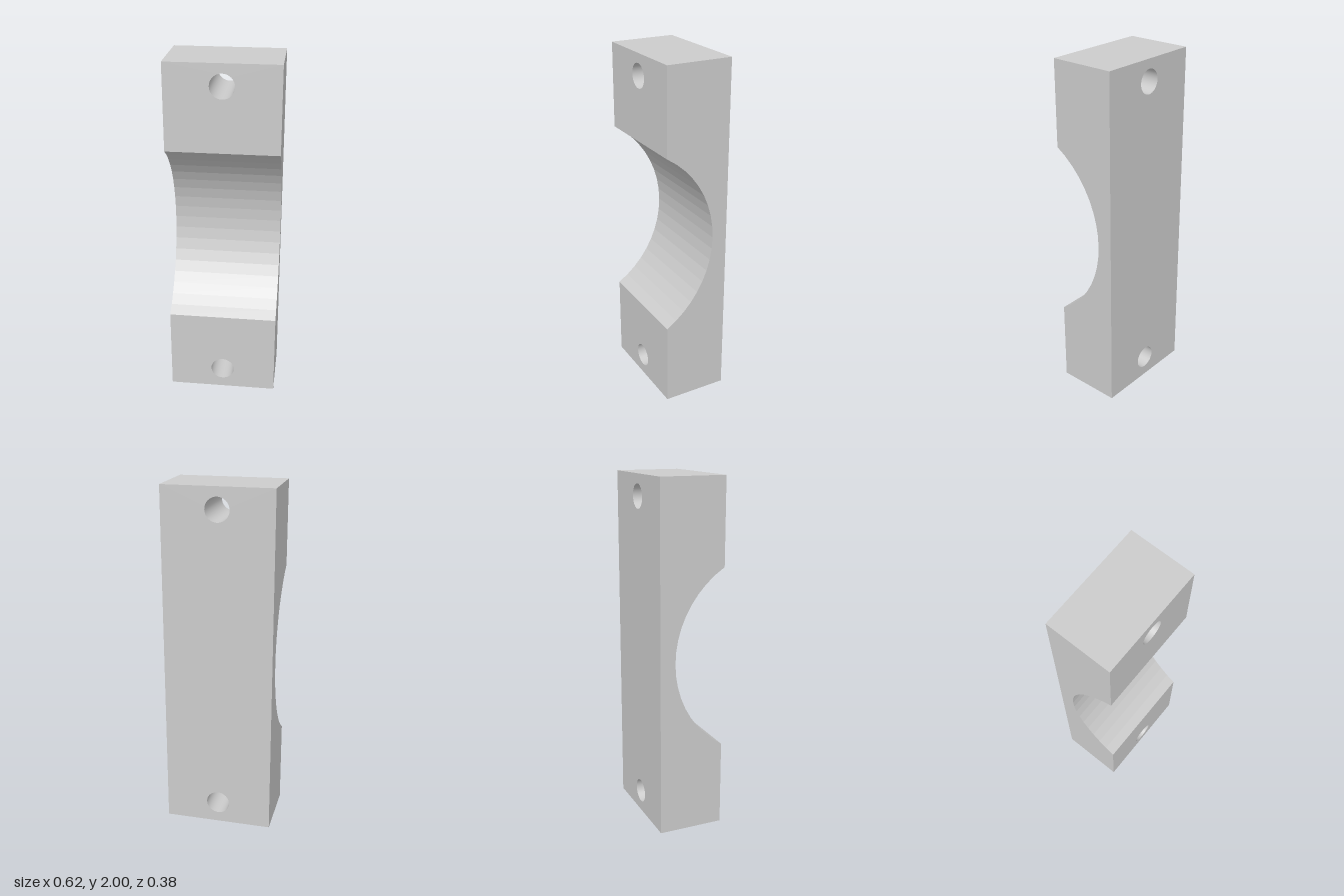
import * as THREE from 'three';
import { mergeGeometries } from 'three/addons/utils/BufferGeometryUtils.js';

const W = 0.312, D = 0.188, H = 2;            // half width, half depth, height
const BORE = { y: 1.003, z: 0.5, r: 0.6 };    // cylindrical saddle
const HOLE_R = 0.068, HOLES = [0.127, 1.879]; // bolt holes
const half = Math.asin(Math.sqrt(BORE.r ** 2 - (BORE.z - D) ** 2) / BORE.r);

// Saddle curve as [z, y] points, bottom to top
const arc = [];
for (let i = 0; i <= 18; i++) {
  const a = half * (i / 9 - 1);
  arc.push([BORE.z - BORE.r * Math.cos(a), BORE.y + BORE.r * Math.sin(a)]);
}

// Flat strip across the full width between two [z, y] points
function strip([z0, y0], [z1, y1]) {
  return new THREE.PlaneGeometry(2 * W, Math.hypot(z1 - z0, y1 - y0))
    .rotateX(Math.atan2(z1 - z0, y1 - y0))
    .translate(0, (y0 + y1) / 2, (z0 + z1) / 2);
}

// Upright face between two heights, pierced by bolt holes
function drilledFace(y0, y1, holes) {
  const s = new THREE.Shape([[-W, y0], [W, y0], [W, y1], [-W, y1]].map(p => new THREE.Vector2(...p)));
  for (const y of holes) s.holes.push(new THREE.Path().absarc(0, y, HOLE_R, 0, Math.PI * 2, true));
  return new THREE.ShapeGeometry(s, 16);
}

// Side profile with the saddle cut out, facing +x or -x
function sideFace(sign) {
  const pts = [[-D, 0], [D, 0], ...arc, [D, H], [-D, H]];
  const s = new THREE.Shape(pts.map(([z, y]) => new THREE.Vector2(-sign * z, y)));
  return new THREE.ShapeGeometry(s).rotateY(sign * Math.PI / 2).translate(sign * W, 0, 0);
}

export function createModel() {
  const group = new THREE.Group();
  group.name = 'clampHalf';
  const add = (name, parts, flatShading) => {
    const mat = new THREE.MeshStandardMaterial({ color: 0xcccccc, flatShading });
    const mesh = new THREE.Mesh(mergeGeometries(parts), mat);
    mesh.name = name;
    group.add(mesh);
  };

  // Block faces: ends, sides, back and the two front pads
  add('block', [
    strip([-D, 0], [D, 0]),
    strip([D, H], [-D, H]),
    sideFace(1),
    sideFace(-1),
    drilledFace(0, H, HOLES).rotateY(Math.PI).translate(0, 0, -D),
    drilledFace(0, arc[0][1], [HOLES[0]]).translate(0, 0, D),
    drilledFace(arc[18][1], H, [HOLES[1]]).translate(0, 0, D),
  ], true);

  // Faceted saddle
  add('saddle', arc.slice(1).map((p, i) => strip(arc[i], p)), true);

  // Bolt hole walls, facing inward
  const wall = [new THREE.Vector2(HOLE_R, D), new THREE.Vector2(HOLE_R, -D)];
  add('boltHoles', HOLES.map(y =>
    new THREE.LatheGeometry(wall, 32).rotateX(Math.PI / 2).translate(0, y, 0)), false);

  return group;
}
